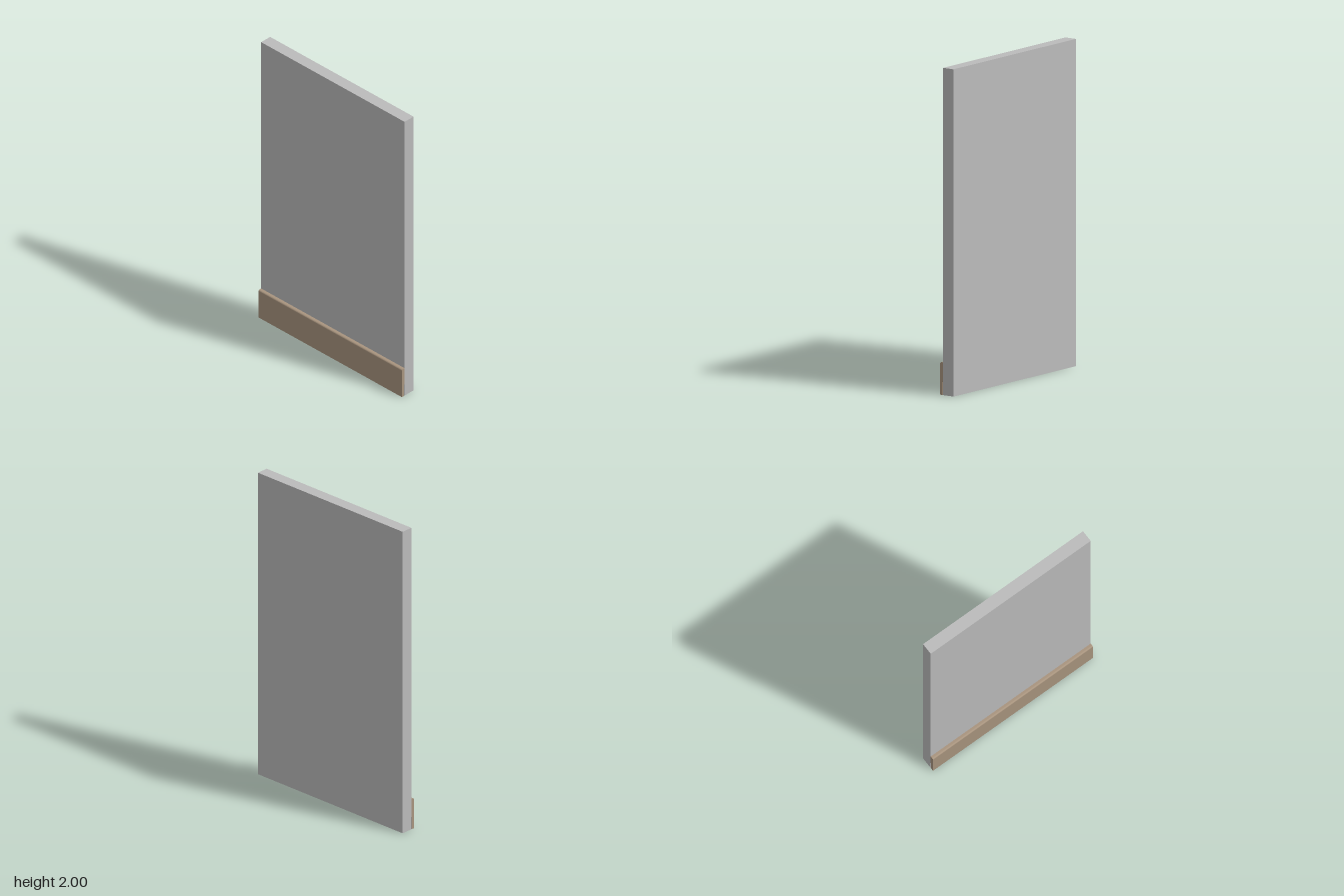
import * as THREE from 'three';

const WIDTH = 1.2, BACK = -0.05, FACE = 0.027, FRONT = 0.05;

export function createModel() {
  const group = new THREE.Group();
  const plaster = new THREE.MeshStandardMaterial({ color: 0xbbbbbb });
  plaster.name = 'grey plaster';
  const wood = new THREE.MeshStandardMaterial({ color: 0xa8947e });
  wood.name = 'tan wood';

  // Upright wall slab
  const wall = new THREE.Mesh(new THREE.BoxGeometry(WIDTH, 2, FACE - BACK), plaster);
  wall.name = 'wallPanel';
  wall.position.set(0, 1, (BACK + FACE) / 2);
  group.add(wall);

  // Skirting board: eased top front edge, shallow relief at the lower back
  const relief = FACE + 0.005, r = 0.01;
  const profile = new THREE.Shape();
  profile.moveTo(relief, 0);
  profile.lineTo(FRONT, 0);
  profile.lineTo(FRONT, 0.2 - r);
  profile.absarc(FRONT - r, 0.2 - r, r, 0, Math.PI / 2, false);
  profile.lineTo(FACE, 0.2);
  profile.lineTo(FACE, 0.085);
  profile.lineTo(relief, 0.08);
  profile.closePath();
  const geometry = new THREE.ExtrudeGeometry(profile, {
    depth: WIDTH, bevelEnabled: false, curveSegments: 4,
  });
  // Turn the profile so its depth runs along x and its first axis along +z
  geometry.rotateY(-Math.PI / 2);
  geometry.translate(WIDTH / 2, 0, 0);
  const skirting = new THREE.Mesh(geometry, wood);
  skirting.name = 'skirtingBoard';
  group.add(skirting);

  return group;
}
